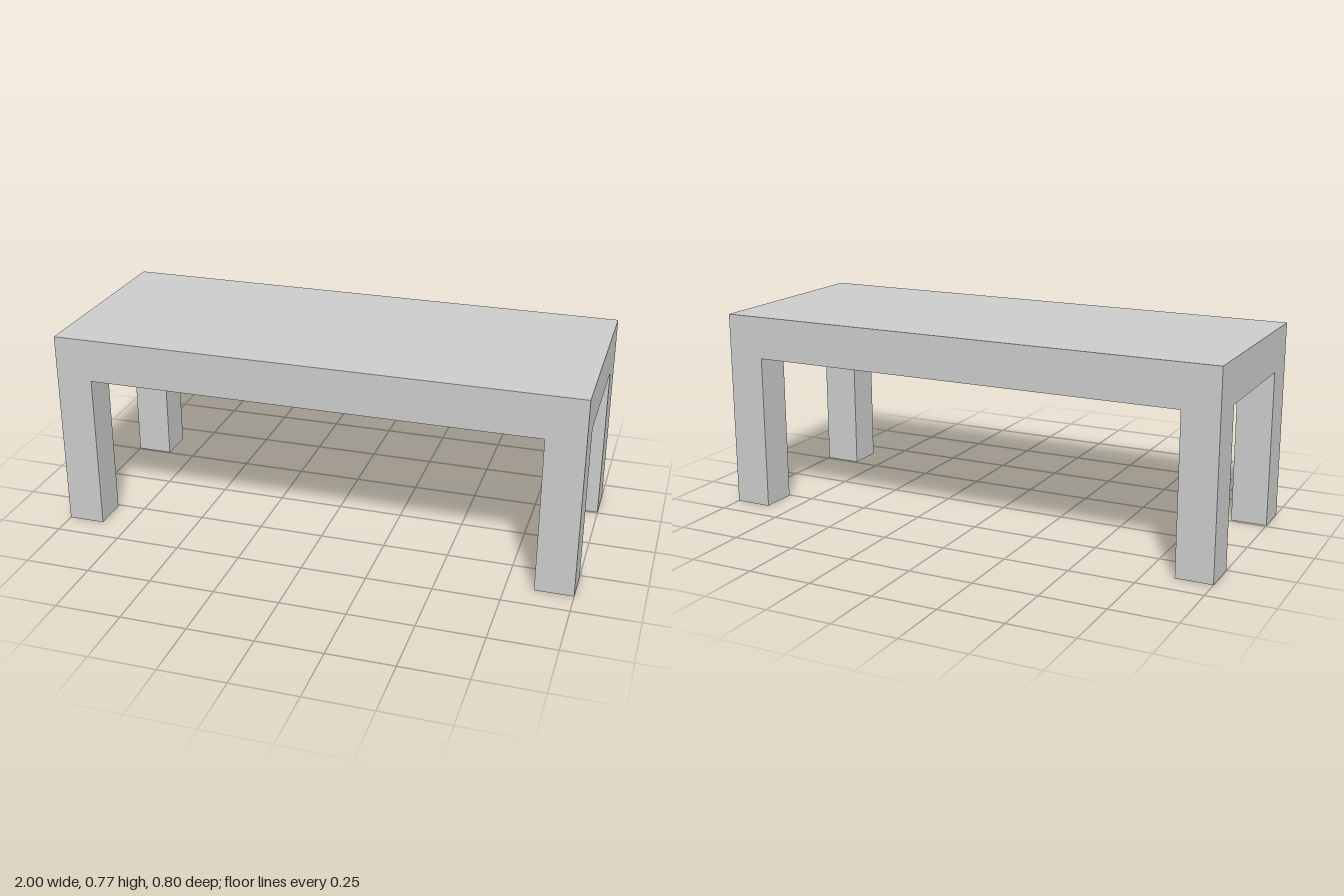
import * as THREE from 'three';

const LENGTH = 2, DEPTH = 0.8, HEIGHT = 0.77, LEG_HEIGHT = 0.605;

export function createModel() {
  const table = new THREE.Group();
  table.name = 'table';
  const material = new THREE.MeshStandardMaterial({ color: 0xcccccc, flatShading: true });

  const addBox = (name, w, h, d, x, y, z) => {
    const mesh = new THREE.Mesh(new THREE.BoxGeometry(w, h, d), material);
    mesh.name = name;
    mesh.position.set(x, y, z);
    table.add(mesh);
  };

  // Thick slab top
  const thickness = HEIGHT - LEG_HEIGHT;
  addBox('tableTop', LENGTH, thickness, DEPTH, 0, LEG_HEIGHT + thickness / 2, 0);

  // Square legs, flush with the corners; left and back ones are a touch thicker
  for (const [side, sx, w] of [['Right', -1, 0.14], ['Left', 1, 0.145]]) {
    for (const [end, sz, d] of [['front', 1, 0.14], ['back', -1, 0.145]]) {
      addBox(`${end}${side}Leg`, w, LEG_HEIGHT, d,
        sx * (LENGTH - w) / 2, LEG_HEIGHT / 2, sz * (DEPTH - d) / 2);
    }
  }
  return table;
}
